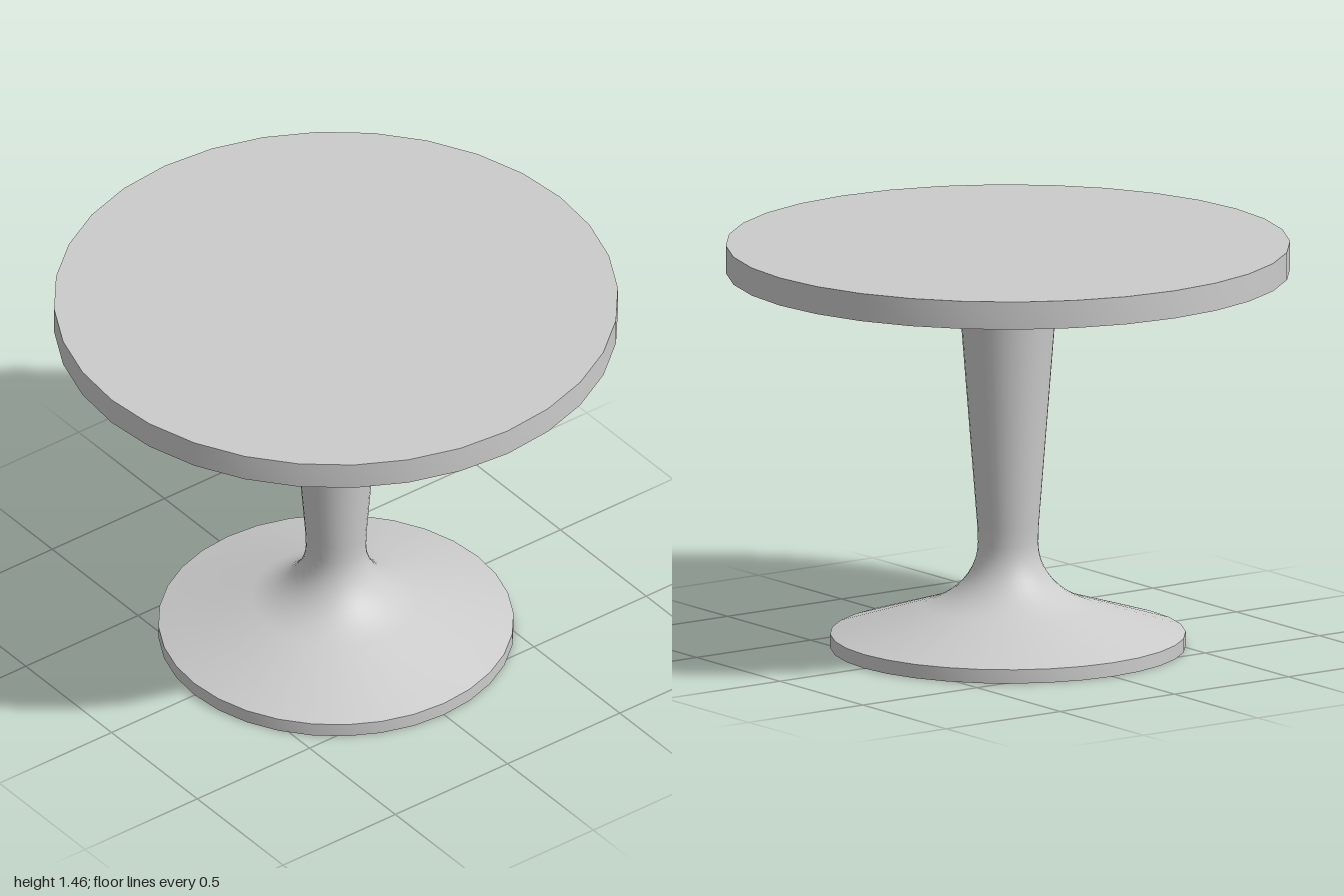
import * as THREE from 'three';
import { toCreasedNormals } from 'three/addons/utils/BufferGeometryUtils.js';

const SIDES = 32;
const material = new THREE.MeshStandardMaterial({ color: 0xcccccc });
const v = (x, y) => new THREE.Vector2(x, y);

// Revolves a bottom-to-top profile, keeping sharp rims
function turned(name, profile) {
  const geometry = toCreasedNormals(new THREE.LatheGeometry(profile, SIDES), Math.PI / 6);
  const mesh = new THREE.Mesh(geometry, material);
  mesh.name = name;
  return mesh;
}

export function createModel() {
  const table = new THREE.Group();
  table.name = 'pedestalTable';

  // Foot disc, sloped skirt, flared fillet and tapered column in one sweep
  const flare = new THREE.CubicBezierCurve(v(0.3, 0.153), v(0.19, 0.19), v(0.107, 0.27), v(0.107, 0.38));
  table.add(turned('pedestal', [
    v(0, 0), v(0.63, 0), v(0.63, 0.05),
    ...flare.getPoints(10),
    v(0.109, 0.44), v(0.175, 1.28),
  ]));

  // Round top with a shallow conical underside
  table.add(turned('tableTop', [
    v(0, 1.28), v(0.175, 1.28), v(1, 1.36), v(1, 1.46), v(0, 1.46),
  ]));

  return table;
}
